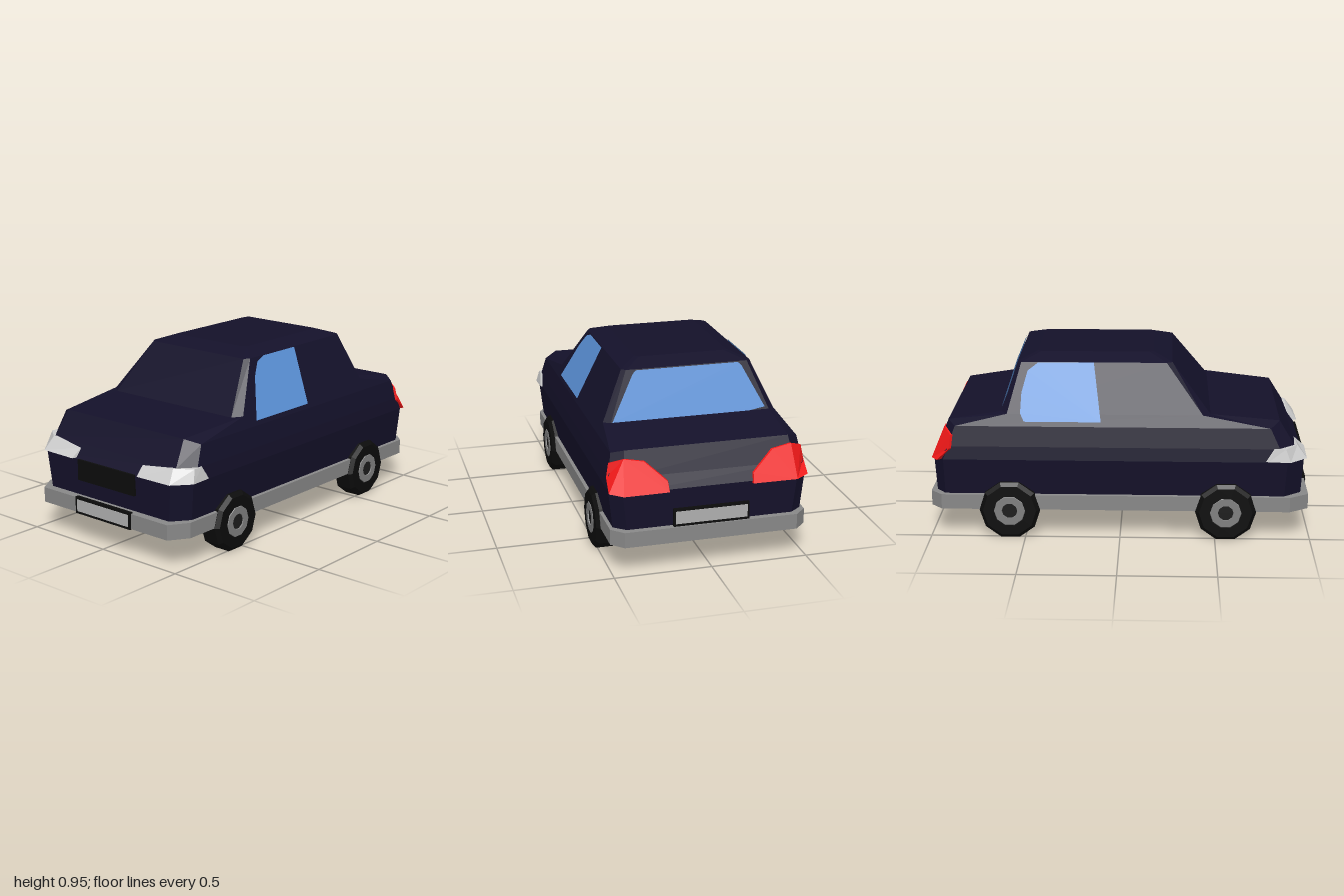
import * as THREE from 'three';

const paint = (color) => new THREE.MeshStandardMaterial({ color, flatShading: true, side: THREE.DoubleSide });
const MAT = {
  body: paint(0x14112a), black: paint(0x0c0c0c), trim: paint(0x888888), hub: paint(0x808080),
  glass: paint(0x5b92d8), red: paint(0xf21818), lamp: paint(0xdddddd), plate: paint(0xb0b0b0),
};

function named(name, geometry, material) {
  const mesh = new THREE.Mesh(geometry, material);
  mesh.name = name;
  return mesh;
}

// Flat polygons, each given as a loop of [x, y, z] corners
function polygons(loops) {
  const pos = [];
  for (const p of loops)
    for (let i = 1; i < p.length - 1; i++) pos.push(...p[0], ...p[i], ...p[i + 1]);
  const g = new THREE.BufferGeometry();
  g.setAttribute('position', new THREE.Float32BufferAttribute(pos, 3));
  g.computeVertexNormals();
  return g;
}

// Chamfered rectangle: front / side / rear heights, end x, half width, chamfer [length, width]
function ring([yf, ys, yr], xf, xr, z, [fx, fz], [rx, rz]) {
  return [
    [xr, yr, z - rz], [xr, yr, rz - z], [xr - rx, ys, -z], [xf + fx, ys, -z],
    [xf, yf, fz - z], [xf, yf, z - fz], [xf + fx, ys, z], [xr - rx, ys, z],
  ];
}

function loft(rings, capped) {
  const loops = [];
  for (let k = 0; k < rings.length - 1; k++) {
    const a = rings[k], b = rings[k + 1];
    a.forEach((p, i) => {
      const j = (i + 1) % a.length;
      loops.push([p, a[j], b[j], b[i]]);
    });
  }
  if (capped) loops.push([...rings[0]].reverse(), rings[rings.length - 1]);
  return polygons(loops);
}

// Lamp skin with a rim reaching into the body
function lamp(faces, outline, side) {
  const inward = ([x, y, z]) => [x * 0.95, y, z * 0.93];
  const rim = outline.map((p, i) => {
    const q = outline[(i + 1) % outline.length];
    return [p, inward(p), inward(q), q];
  });
  return polygons([...faces, ...rim].map((f) => {
    const m = f.map(([x, y, z]) => [x, y, z * side]);
    return side < 0 ? m.reverse() : m;
  }));
}

function wheel(name, x, side) {
  const g = new THREE.Group();
  g.name = name;
  const profile = [[0, -0.06], [0.14, -0.06], [0.16, -0.045], [0.16, 0.045], [0.14, 0.063], [0.085, 0.063], [0, 0.055]];
  const turn = (pts) => new THREE.LatheGeometry(pts.map((p) => new THREE.Vector2(...p)), 10, Math.PI / 2).rotateX(Math.PI / 2);
  g.add(named('tyre', turn(profile), MAT.black));
  g.add(named('hub', turn([[0.085, 0.06], [0.08, 0.066], [0.042, 0.066], [0.04, 0.058]]), MAT.hub));
  g.add(named('hubCentre', turn([[0.042, 0.06], [0, 0.06]]), paint(0x1c1c1c)));
  g.position.set(x, 0.153, side * 0.462);
  if (side < 0) g.rotation.y = Math.PI;
  return g;
}

function box(name, size, at, material) {
  return named(name, new THREE.BoxGeometry(...size).translate(...at), material);
}

export function createModel() {
  const car = new THREE.Group();
  car.name = 'car';
  const flat = (y) => [y, y, y];

  // Body shell: sills, shoulders, bonnet and boot, cabin, roof
  const sill = ring(flat(0.235), -0.95, 0.97, 0.487, [0.09, 0.07], [0.05, 0.06]);
  const bumper = (y) => ring(flat(y), -0.99, 1.0, 0.505, [0.1, 0.065], [0.06, 0.06]);
  car.add(named('body', loft([
    ring(flat(0.157), -0.987, 0.997, 0.502, [0.1, 0.065], [0.06, 0.06]),
    sill,
    ring(flat(0.43), -0.96, 0.978, 0.508, [0.09, 0.07], [0.055, 0.06]),
    ring(flat(0.5), -0.91, 0.947, 0.5, [0.08, 0.07], [0.05, 0.06]),
    ring([0.63, 0.605, 0.625], -0.83, 0.9, 0.48, [0.05, 0.07], [0.04, 0.06]),
    ring([0.66, 0.665, 0.67], -0.47, 0.62, 0.453, [0.04, 0.045], [0.03, 0.035]),
    ring(flat(0.915), -0.27, 0.54, 0.34, [0.03, 0.02], [0.02, 0.02]),
    ring(flat(0.95), -0.17, 0.44, 0.245, [0.02, 0.02], [0.02, 0.02]),
  ], true), MAT.body));

  // Grey band running round the car as bumpers and sills
  car.add(named('bumperBand', loft([bumper(0.155), bumper(0.235), sill.map(([x, y, z]) => [x, 0.237, z])]), MAT.trim));

  // Side windows lie on the sloping cabin sides
  const sideGlass = (pts, side) => polygons([pts.map(([x, y]) => [x, y, side * (0.487 - 0.4516 * (y - 0.605))])]);
  car.add(named('sideWindowA', sideGlass(
    [[-0.35, 0.63], [0.08, 0.63], [0.12, 0.915], [-0.14, 0.915], [-0.2, 0.895], [-0.255, 0.83]], 1), MAT.glass));
  car.add(named('sideWindowB', sideGlass(
    [[0.1, 0.63], [0.14, 0.915], [0.43, 0.915], [0.485, 0.875], [0.515, 0.77], [0.52, 0.67], [0.5, 0.63]], -1), MAT.glass));

  // Rear window
  const pane = [[0.672, 0.412], [0.672, -0.31], [0.685, -0.395], [0.895, -0.288], [0.912, -0.27], [0.912, 0.27], [0.895, 0.288]];
  car.add(named('rearWindow', polygons([pane.map(([y, z]) => [0.627 - 0.3265 * (y - 0.67), y, z])]), MAT.glass));

  // Lamps, mirrored across the centre line
  const low = [[-0.98, 0.435, 0.23], [-0.975, 0.435, 0.445], [-0.885, 0.435, 0.523], [-0.77, 0.435, 0.518]];
  const high = [[-0.925, 0.48, 0.22], [-0.925, 0.503, 0.425], [-0.86, 0.503, 0.508], [-0.81, 0.503, 0.508]];
  const headFaces = [0, 1, 2].map((i) => [low[i], high[i], high[i + 1], low[i + 1]]);
  const tip = [0.922, 0.588, 0.43], corner = [0.992, 0.42, 0.445];
  const rearPts = [[0.99, 0.42, 0.215], [0.97, 0.47, 0.22], [0.93, 0.57, 0.33]];
  const sidePts = [[0.955, 0.428, 0.512], [0.89, 0.49, 0.51], [0.882, 0.56, 0.497]];
  for (const s of [1, -1]) {
    car.add(named('headlight', lamp(headFaces, [...low, ...[...high].reverse()], s), MAT.lamp));
    car.add(named('tailLight', lamp(
      [[corner, ...[...rearPts, tip].reverse()].reverse(), [corner, ...sidePts, tip].reverse()],
      [...rearPts, tip, ...[...sidePts].reverse(), corner], s), MAT.red));
  }

  // Number plates and grille
  car.add(box('rearPlateFrame', [0.03, 0.092, 0.39], [0.977, 0.281, 0], MAT.black));
  car.add(box('rearPlate', [0.03, 0.066, 0.37], [0.979, 0.282, 0], MAT.plate));
  car.add(box('frontPlateFrame', [0.02, 0.09, 0.39], [-0.988, 0.197, 0], MAT.black));
  car.add(box('frontPlate', [0.02, 0.064, 0.365], [-0.99, 0.197, 0], MAT.plate));
  car.add(box('grille', [0.03, 0.11, 0.4], [-0.955, 0.378, 0], MAT.black));

  // Wheels
  for (const s of [1, -1]) {
    car.add(wheel('frontWheel', -0.555, s));
    car.add(wheel('rearWheel', 0.58, s));
  }
  return car;
}
